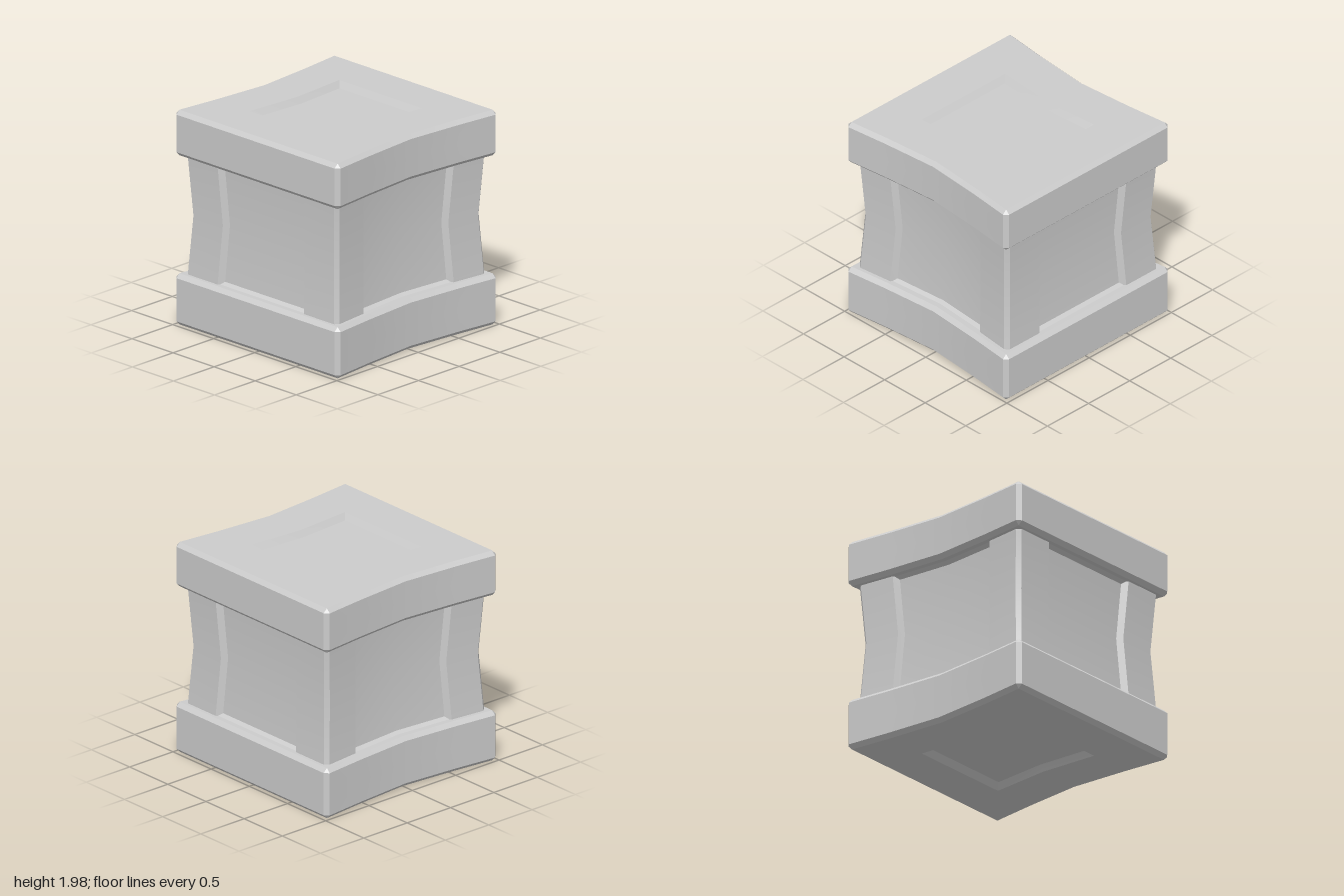
import * as THREE from 'three';
import { toCreasedNormals } from 'three/addons/utils/BufferGeometryUtils.js';

const BEVEL = 0.037;

// Grid lines across a face: mirrored list from -edge to +edge
const mirrored = (list) => [...list.map((v) => -v).reverse(), 0, ...list];

// Chamfered block; panels[axis] = { half: [u, v], inset, depth } sinks a panel into both faces of that axis
function block(half, panels, warp) {
  const pos = [];
  for (let k = 0; k < 3; k++) {
    const axes = [(k + 1) % 3, (k + 2) % 3];
    const panel = panels[k];
    const [us, vs] = axes.map((a, i) => {
      const inner = panel ? [panel.half[i] - panel.inset, panel.half[i]] : [0.55];
      return mirrored([...inner.filter((v) => v < half[a] - BEVEL), half[a] - BEVEL, half[a]]);
    });
    for (const s of [1, -1]) {
      const point = (i, j) => {
        const p = new THREE.Vector3();
        let u = us[i], v = vs[j], h = half[k];
        const edgeU = i === 0 || i === us.length - 1;
        const edgeV = j === 0 || j === vs.length - 1;
        // outer ring runs along the middle of the chamfer
        const cut = edgeU && edgeV ? BEVEL * 2 / 3 : BEVEL / 2;
        if (edgeU) u -= Math.sign(u) * cut;
        if (edgeV) v -= Math.sign(v) * cut;
        if (edgeU || edgeV) h -= cut;
        // sunken panel floor
        if (panel && Math.abs(u) < panel.half[0] - panel.inset + 1e-4
          && Math.abs(v) < panel.half[1] - panel.inset + 1e-4) h -= panel.depth;
        p.setComponent(axes[0], u).setComponent(axes[1], v).setComponent(k, s * h);
        return warp(p);
      };
      for (let i = 0; i < us.length - 1; i++) {
        for (let j = 0; j < vs.length - 1; j++) {
          const a = point(i, j), b = point(i + 1, j), c = point(i + 1, j + 1), d = point(i, j + 1);
          // diagonals radiate from the face centre so mitred corners stay clean
          const radial = (us[i] + us[i + 1]) * (vs[j] + vs[j + 1]) > 0;
          const tris = radial ? [[a, b, c], [a, c, d]] : [[a, b, d], [b, c, d]];
          for (const t of tris) {
            if (s < 0) t.reverse();
            t.forEach((p) => pos.push(p.x, p.y, p.z));
          }
        }
      }
    }
  }
  const geo = new THREE.BufferGeometry();
  geo.setAttribute('position', new THREE.Float32BufferAttribute(pos, 3));
  return toCreasedNormals(geo, Math.PI / 6);
}

// Moves a coordinate towards zero, fading out near the centre
const pinch = (v, d) => v - Math.sign(v) * d * Math.min(1, Math.abs(v) / 0.6);

// Front and back bow inwards towards x = 0
function bow(p) {
  const x = Math.abs(p.x);
  const d = x > 0.55 ? 0.045 * Math.max(0, (0.95 - x) / 0.4) : 0.09 - 0.045 * x / 0.55;
  p.z = pinch(p.z, d);
  return p;
}

// The body also narrows at mid height
function waist(p) {
  bow(p);
  const d = 0.035 * Math.max(0, 1 - Math.abs(p.y) / 0.55);
  p.x = pinch(p.x, d);
  p.z = pinch(p.z, d);
  return p;
}

export function createModel() {
  const group = new THREE.Group();
  const material = new THREE.MeshStandardMaterial({ color: 0xcccccc });
  const add = (name, geo, y) => {
    const mesh = new THREE.Mesh(geo, material);
    mesh.name = name;
    mesh.position.y = y;
    group.add(mesh);
  };

  // Slabs with a sunken square (axis 1: u = z, v = x)
  const lidPanel = { half: [0.545, 0.55], inset: 0.043, depth: 0.055 };
  add('baseSlab', block([0.99, 0.236, 1], [null, lidPanel, null], bow), 0.236);
  add('topSlab', block([0.99, 0.21, 1], [null, lidPanel, null], bow), 1.77);

  // Waisted body with a sunken panel on each side
  const sidePanel = { half: [0.555, 0.53], inset: 0.035, depth: 0.05 };
  const frontPanel = { half: [0.555, 0.555], inset: 0.035, depth: 0.05 };
  add('body', block([0.925, 0.6, 0.93], [sidePanel, null, frontPanel], waist), 1.015);

  return group;
}
